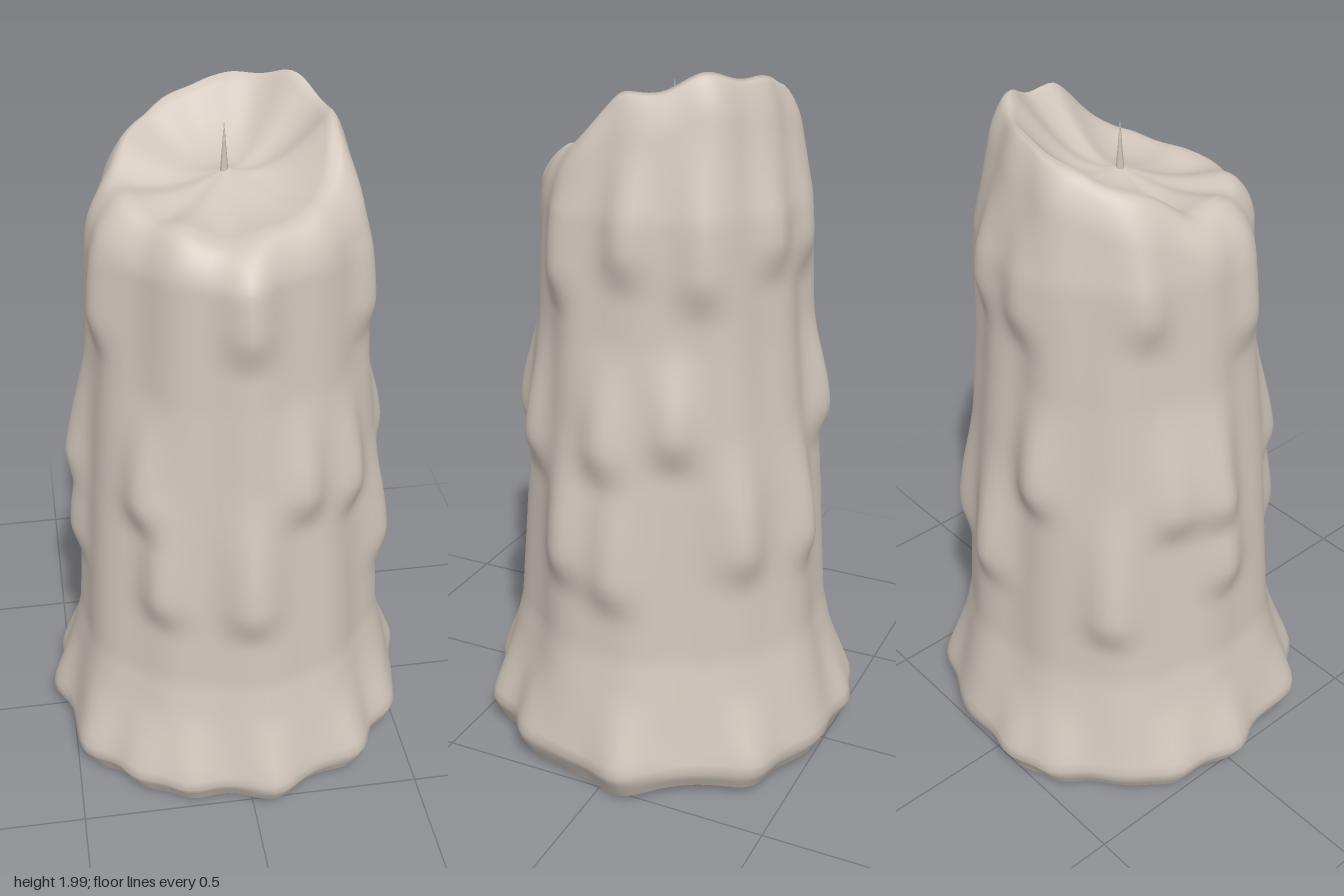
import * as THREE from 'three';

const SEG = 120, WALL = 84, BOWL = 14;
const TAU = Math.PI * 2, DEG = Math.PI / 180;

// wall profile (radius, height), before drips
const PROFILE = [[0.485, 0.02], [0.53, 0.1], [0.505, 0.2], [0.455, 0.42], [0.42, 0.9],
  [0.383, 1.3], [0.362, 1.65], [0.295, 2]];

// rim height every 45 degrees, from the front towards +x
const RIM = [1.75, 1.79, 1.95, 2.0, 1.97, 1.9, 1.8, 1.77];

// tiers of wax drips: each drip thickens downwards and ends at the bottom height
const TIERS = [
  { top: 1.85, bottom: 1.47, depth: 0.033, angles: [0, 62, 95, 125, 158, 185, 240, 288] },
  { top: 1.3, bottom: 0.97, depth: 0.044, angles: [22, 48, 88, 115, 195, 250, 268, 318] },
  { top: 1.05, bottom: 0.63, depth: 0.038, angles: [0, 72, 92, 140, 172, 225, 272, 327] },
];

// puddle lobes at the foot: angles around the base
const LOBES = [7, 38, 60, 98, 140, 191, 208, 248, 270, 303, 322, 340];

const smooth = (a, b, x) => THREE.MathUtils.smoothstep(x, a, b);

function profileRadius(y) {
  let i = 0;
  while (i < PROFILE.length - 2 && y > PROFILE[i + 1][1]) i++;
  const [r0, y0] = PROFILE[i], [r1, y1] = PROFILE[i + 1];
  return THREE.MathUtils.lerp(r0, r1, THREE.MathUtils.clamp((y - y0) / (y1 - y0), 0, 1));
}

function rimHeight(a) {
  const f = (a / TAU) * 8, i = Math.floor(f);
  return THREE.MathUtils.lerp(RIM[i], RIM[(i + 1) % 8], smooth(0, 1, f - i)) + 0.008 * Math.sin(9 * a);
}

// soft bump around an angle given in degrees
function bell(a, centre, width) {
  const d = a - centre * DEG;
  return Math.exp(-((Math.atan2(Math.sin(d), Math.cos(d)) / (width * DEG)) ** 2));
}

function wallRadius(a, y) {
  let r = profileRadius(y) + 0.008 * Math.sin(5 * a + 1.3 * y) + 0.006 * Math.sin(11 * a + 0.8);
  for (const { top, bottom, depth, angles } of TIERS) {
    for (const angle of angles) {
      const end = bottom + 0.05 * Math.sin(angle);
      const along = smooth(end - 0.07, end + 0.07, y) * (1 - 0.9 * smooth(end + 0.08, top + 0.05, y));
      r += depth * along * bell(a, angle, 9);
    }
  }
  const foot = 1 - smooth(0.1, 0.34, y);
  for (const angle of LOBES) r += 0.032 * foot * bell(a, angle, 8);
  return r;
}

const footHeight = a => 0.03 + 0.011 * Math.sin(3 * a + 0.6) + 0.007 * Math.sin(7 * a);

function build(pos, index) {
  const g = new THREE.BufferGeometry();
  g.setAttribute('position', new THREE.Float32BufferAttribute(pos, 3));
  g.setIndex(index);
  g.computeVertexNormals();
  return g;
}

// outer wall, rounded shoulder and bowl as one smooth skin
function waxGeometry() {
  const pos = [], index = [], rimR = 0.275, rows = WALL + BOWL;
  for (let j = 0; j <= rows; j++) {
    for (let i = 0; i < SEG; i++) {
      const a = (i / SEG) * TAU, rim = rimHeight(a);
      let r, y;
      if (j <= WALL) {
        const foot = footHeight(a);
        y = foot + (rim - foot) * (1 - Math.pow(1 - j / WALL, 1.25));
        const k = 1 - Math.min((rim - y) / 0.11, 1);
        r = rimR + (wallRadius(a, y) - rimR) * Math.sqrt(Math.max(0, 1 - k * k));
      } else {
        const s = 1 - (j - WALL) / BOWL;
        r = rimR * s;
        y = THREE.MathUtils.lerp(1.82, rim, s * s * (1.6 - 0.6 * s)) - 0.03 * Math.sin(Math.PI * s);
      }
      pos.push(Math.sin(a) * r, y, Math.cos(a) * r);
    }
  }
  for (let j = 0; j < rows; j++) {
    for (let i = 0; i < SEG; i++) {
      const a = j * SEG + i, b = j * SEG + (i + 1) % SEG;
      index.push(a, b, a + SEG);
      if (j < rows - 1) index.push(b, b + SEG, a + SEG);
    }
  }
  return build(pos, index);
}

// closed underside
function undersideGeometry() {
  const pos = [0, 0.03, 0], index = [];
  for (let i = 0; i < SEG; i++) {
    const a = (i / SEG) * TAU, y = footHeight(a), r = wallRadius(a, y);
    pos.push(Math.sin(a) * r, y, Math.cos(a) * r);
    index.push(0, 1 + (i + 1) % SEG, 1 + i);
  }
  return build(pos, index);
}

export function createModel() {
  const group = new THREE.Group();
  group.name = 'meltedCandle';
  const wax = new THREE.MeshStandardMaterial({ color: 0xd0c5bb });
  wax.name = 'wax';
  const add = (name, geometry) => {
    const mesh = new THREE.Mesh(geometry, wax);
    mesh.name = name;
    group.add(mesh);
    return mesh;
  };
  add('waxBody', waxGeometry());
  add('underside', undersideGeometry());
  add('wick', new THREE.ConeGeometry(0.012, 0.15, 8)).position.set(-0.005, 1.875, 0);
  return group;
}
